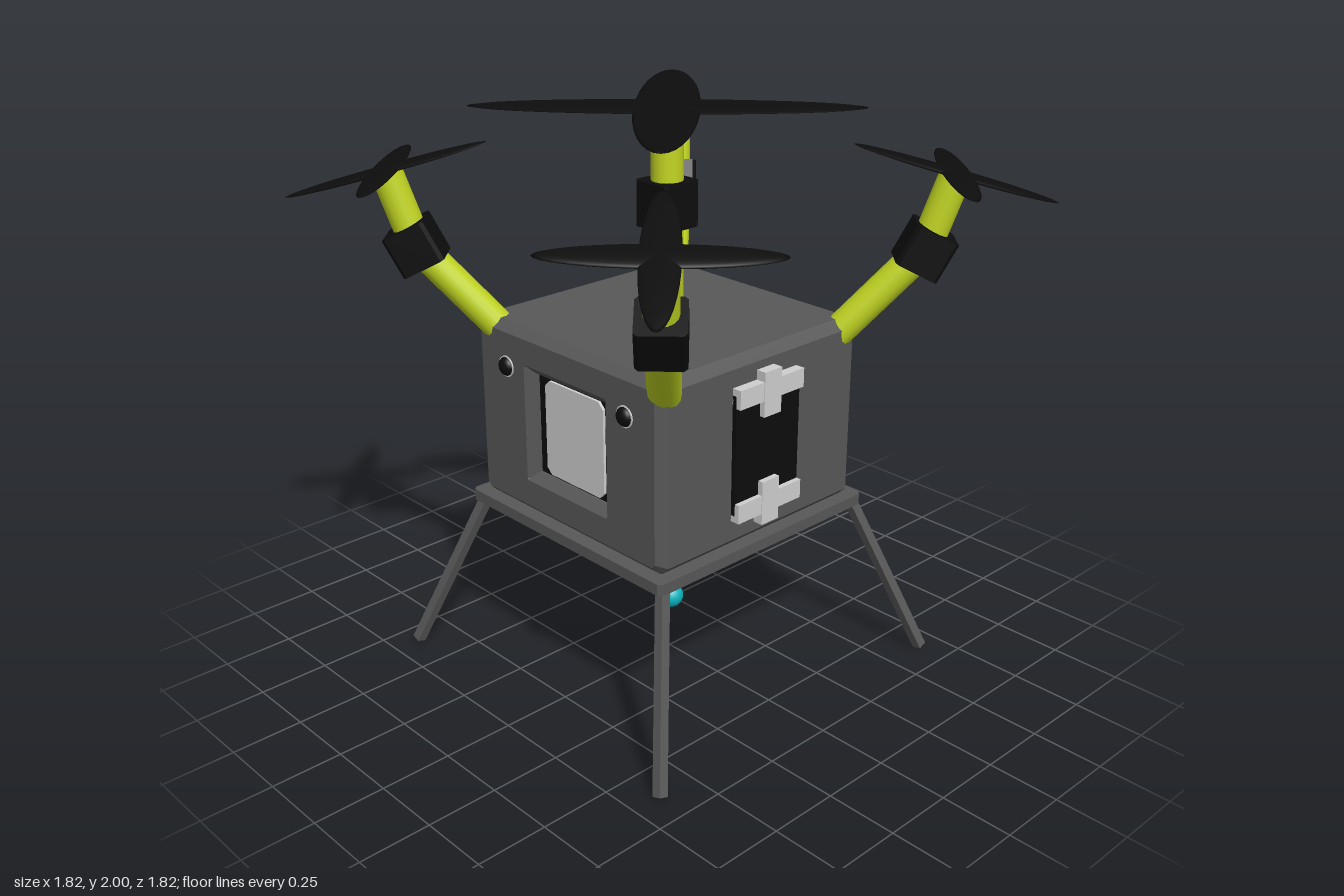
import * as THREE from 'three';

const mat = (name, color, extra = {}) => {
  const m = new THREE.MeshStandardMaterial({ color, ...extra });
  m.name = name;
  return m;
};

// Rectangle with chamfered corners, centred on (0, cy)
function chamferRect(hw, hh, c, cy = 0, Type = THREE.Shape) {
  return new Type([
    [-hw + c, -hh], [hw - c, -hh], [hw, -hh + c], [hw, hh - c],
    [hw - c, hh], [-hw + c, hh], [-hw, hh - c], [-hw, -hh + c],
  ].map(([x, y]) => new THREE.Vector2(x, y + cy)));
}

export function createModel() {
  const grey = mat('bodyGrey', 0x585858);
  const coneGrey = mat('coneGrey', 0x8c8c8c);
  const black = mat('black', 0x0d0d0d);
  const light = mat('lightGrey', 0xcfcfcf);
  const lime = mat('lime', 0xc2d622);
  const teal = mat('teal', 0x0cb4be);

  const root = new THREE.Group();
  root.name = 'drone';

  const add = (parent, name, geo, material, x = 0, y = 0, z = 0) => {
    const m = new THREE.Mesh(geo, material);
    m.name = name;
    m.position.set(x, y, z);
    parent.add(m);
    return m;
  };
  const group = (name, x = 0, y = 0, z = 0) => {
    const g = new THREE.Group();
    g.name = name;
    g.position.set(x, y, z);
    root.add(g);
    return g;
  };
  const up = new THREE.Vector3(0, 1, 0);
  // Places a y-axis geometry between two points
  const between = (parent, name, a, b, makeGeo, material) => {
    const d = b.clone().sub(a);
    const mid = a.clone().add(b).multiplyScalar(0.5);
    const m = add(parent, name, makeGeo(d.length()), material, mid.x, mid.y, mid.z);
    m.quaternion.setFromUnitVectors(up, d.normalize());
    return m;
  };
  const V = (x, y, z) => new THREE.Vector3(x, y, z);

  // Body: chamfered block with a sloping recess at the front
  const body = group('body', -0.015);
  const profile = chamferRect(0.43, 0.3025, 0.015, 0.9525);
  profile.holes.push(chamferRect(0.205, 0.21, 0.005, 0.955, THREE.Path));
  const shell = new THREE.ExtrudeGeometry(profile, {
    depth: 0.854, bevelEnabled: true, bevelThickness: 0.03, bevelSize: 0.03, bevelSegments: 1,
  });
  add(body, 'shell', shell, grey, 0, 0, -0.427);
  add(body, 'backFace', new THREE.BoxGeometry(0.85, 0.6, 0.01), grey, 0, 0.9525, -0.4535);

  // Window in the recess
  add(body, 'windowSurround', new THREE.BoxGeometry(0.38, 0.39, 0.02), black, 0, 0.955, 0.405);
  const pane = new THREE.ExtrudeGeometry(chamferRect(0.145, 0.17, 0.022), { depth: 0.02, bevelEnabled: false });
  add(body, 'windowPane', pane, light, 0.01, 0.955, 0.405);

  // Eyes with thin light rims
  for (const s of [-1, 1]) {
    const x = s * 0.296;
    const rim = add(body, 'eyeRim', new THREE.CylinderGeometry(0.037, 0.037, 0.008, 24), light, x, 1.135, 0.457);
    rim.rotation.x = Math.PI / 2;
    const eye = add(body, 'eye', new THREE.SphereGeometry(0.033, 20, 12), black, x, 1.135, 0.458);
    eye.scale.z = 0.7;
  }

  // Side panels, each held by two cross-shaped clips
  for (const s of [-1, 1]) {
    add(body, 'sidePanel', new THREE.BoxGeometry(0.03, 0.42, 0.295), black, s * 0.462, 0.957, 0);
    for (const [barY, postY] of [[1.158, 1.147], [0.758, 0.763]]) {
      add(body, 'clipBar', new THREE.BoxGeometry(0.05, 0.066, 0.295), light, s * 0.47, barY, 0);
      add(body, 'clipPost', new THREE.BoxGeometry(0.054, 0.155, 0.078), light, s * 0.47, postY, 0);
    }
  }

  // Base frame and the mount under the body
  const base = group('base', -0.015);
  const flat = (shape, depth) =>
    new THREE.ExtrudeGeometry(shape, { depth, bevelEnabled: false }).rotateX(-Math.PI / 2);
  const ring = chamferRect(0.487, 0.487, 0.015);
  ring.holes.push(chamferRect(0.43, 0.43, 0.01, 0, THREE.Path));
  add(base, 'baseFrame', flat(ring, 0.04), grey, 0, 0.585, 0);
  add(base, 'drillMount', flat(chamferRect(0.25, 0.25, 0.03), 0.06), grey, 0, 0.57, -0.01);

  // Drill: cone, shrinking discs and a ball tip
  const drill = group('drill', -0.016, 0, -0.022);
  add(drill, 'cone', new THREE.CylinderGeometry(0.125, 0.022, 0.35, 24), coneGrey, 0, 0.395, 0);
  const discs = [[0.562, 0.215, 0.034], [0.51, 0.165, 0.012], [0.455, 0.14, 0.012],
    [0.4, 0.118, 0.012], [0.345, 0.1, 0.012], [0.288, 0.085, 0.012]];
  for (const [y, r, h] of discs) {
    add(drill, 'drillDisc', new THREE.CylinderGeometry(r, r, h, 32), teal, 0, y, 0);
  }
  add(drill, 'drillTip', new THREE.SphereGeometry(0.045, 20, 14), teal, 0, 0.193, 0);

  // Shared builders for masts and rotors
  const tube = (h) => new THREE.CylinderGeometry(0.054, 0.054, h, 16);
  const collarGeo = (h) => flat(chamferRect(0.077, 0.077, 0.012), h).translate(0, -h / 2, 0);
  const rotor = (parent, pos, normal, length, width) => {
    const g = new THREE.Group();
    g.name = 'rotor';
    g.position.copy(pos);
    g.quaternion.setFromUnitVectors(up, normal.normalize());
    for (const s of [-1, 1]) {
      const blade = add(g, 'blade', new THREE.SphereGeometry(1, 32, 10), black);
      blade.scale.set(length, 0.011, width);
      blade.rotation.y = s * Math.PI / 4;
    }
    parent.add(g);
  };

  // Central mast
  const mast = group('centreMast', -0.011);
  between(mast, 'mastTube', V(0, 1.25, 0), V(0, 1.985, 0), tube, lime);
  between(mast, 'mastCollar', V(0, 1.595, 0), V(0, 1.75, 0), collarGeo, black);
  rotor(mast, V(0, 1.989, 0), V(0, 1, 0), 0.645, 0.108);

  // Corner arms and legs
  for (const sx of [-1, 1]) for (const sz of [-1, 1]) {
    const arm = group('cornerArm');
    const P = (h, y) => V(sx * h, y, sz * h);
    const elbow = P(0.595, 1.525);
    between(arm, 'lowerArm', P(0.38, 1.2), elbow, tube, lime);
    between(arm, 'upperArm', elbow, P(0.655, 1.775), tube, lime);
    const axis = P(0.36, 1).normalize();
    // Collar squared up to the arm's diagonal
    const collar = add(arm, 'armCollar', collarGeo(0.145).rotateY(Math.PI / 4), black, elbow.x, elbow.y, elbow.z);
    collar.quaternion.setFromUnitVectors(up, axis);
    rotor(arm, P(0.657, 1.779), P(0.2, 1), 0.35, 0.06);

    const leg = group('leg', -0.007);
    const square = (h) => new THREE.BoxGeometry(0.034, h, 0.034);
    between(leg, 'legStrut', P(0.45, 0.61), P(0.652, 0.009), square, grey);
  }
  return root;
}
